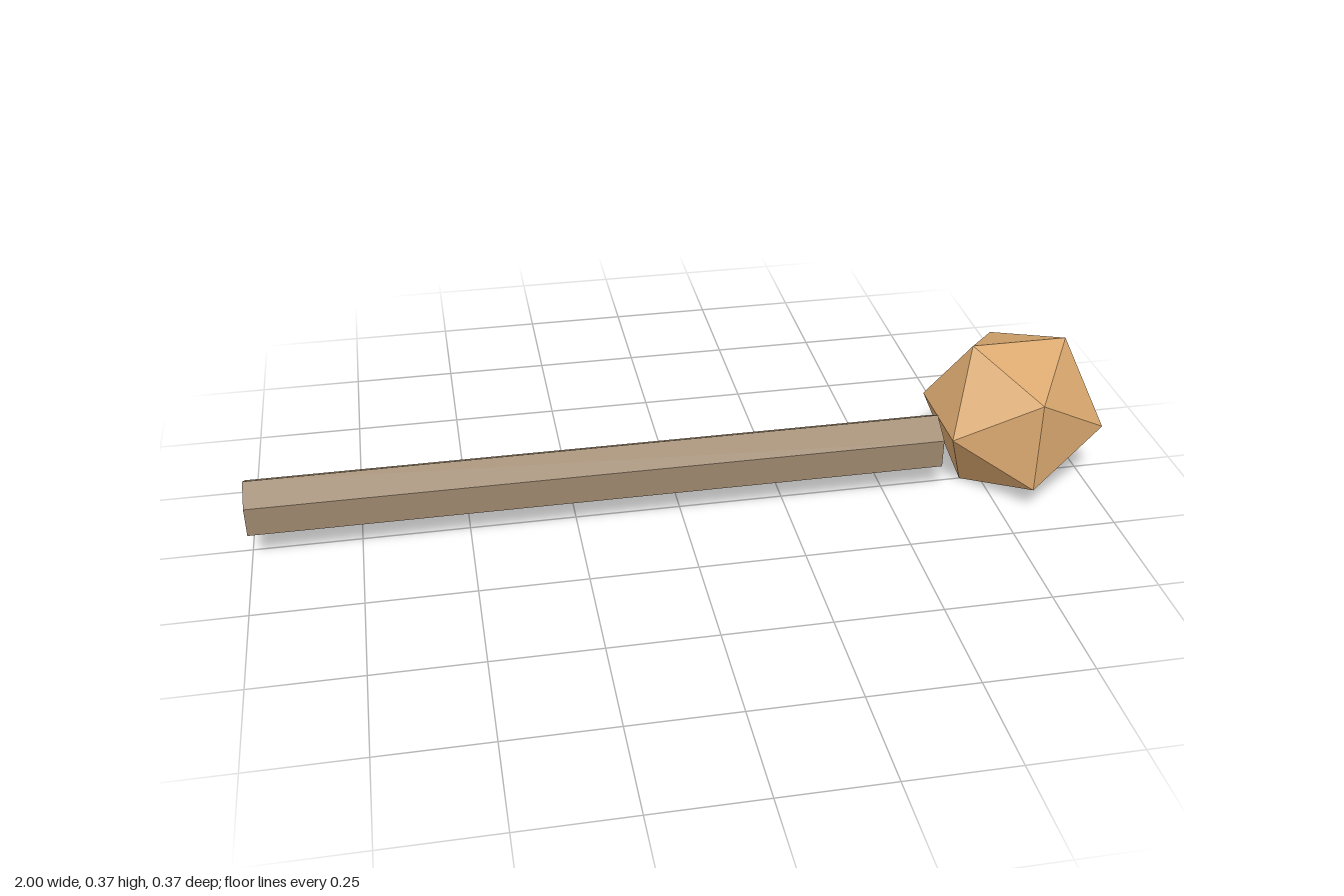
import * as THREE from 'three';

const HEAD_HALF = 0.185; // half extent of the faceted head
const HANDLE_START = -1;
const HANDLE_END = 0.63;

export function createModel() {
  const group = new THREE.Group();
  group.name = 'club';

  const paleWood = new THREE.MeshStandardMaterial({ color: 0xdba970 });
  paleWood.name = 'pale wood';
  const darkWood = new THREE.MeshStandardMaterial({ color: 0x9c866c });
  darkWood.name = 'dark wood';

  // Twenty-sided head; its flat normals come with the geometry
  const phi = (1 + Math.sqrt(5)) / 2;
  const radius = HEAD_HALF * Math.sqrt(1 + phi * phi) / phi;
  const head = new THREE.Mesh(new THREE.IcosahedronGeometry(radius, 0), paleWood);
  head.name = 'head';
  head.position.set(1 - HEAD_HALF, HEAD_HALF, 0);
  group.add(head);

  // Six-sided handle lying along x, one ridge on top
  const length = HANDLE_END - HANDLE_START;
  const shaft = new THREE.CylinderGeometry(0.071, 0.071, length, 6)
    .rotateY(Math.PI / 2)
    .rotateZ(-Math.PI / 2)
    .toNonIndexed();
  shaft.computeVertexNormals(); // faceted sides
  const handle = new THREE.Mesh(shaft, darkWood);
  handle.name = 'handle';
  handle.position.set((HANDLE_START + HANDLE_END) / 2, 0.117, 0);
  group.add(handle);

  return group;
}
